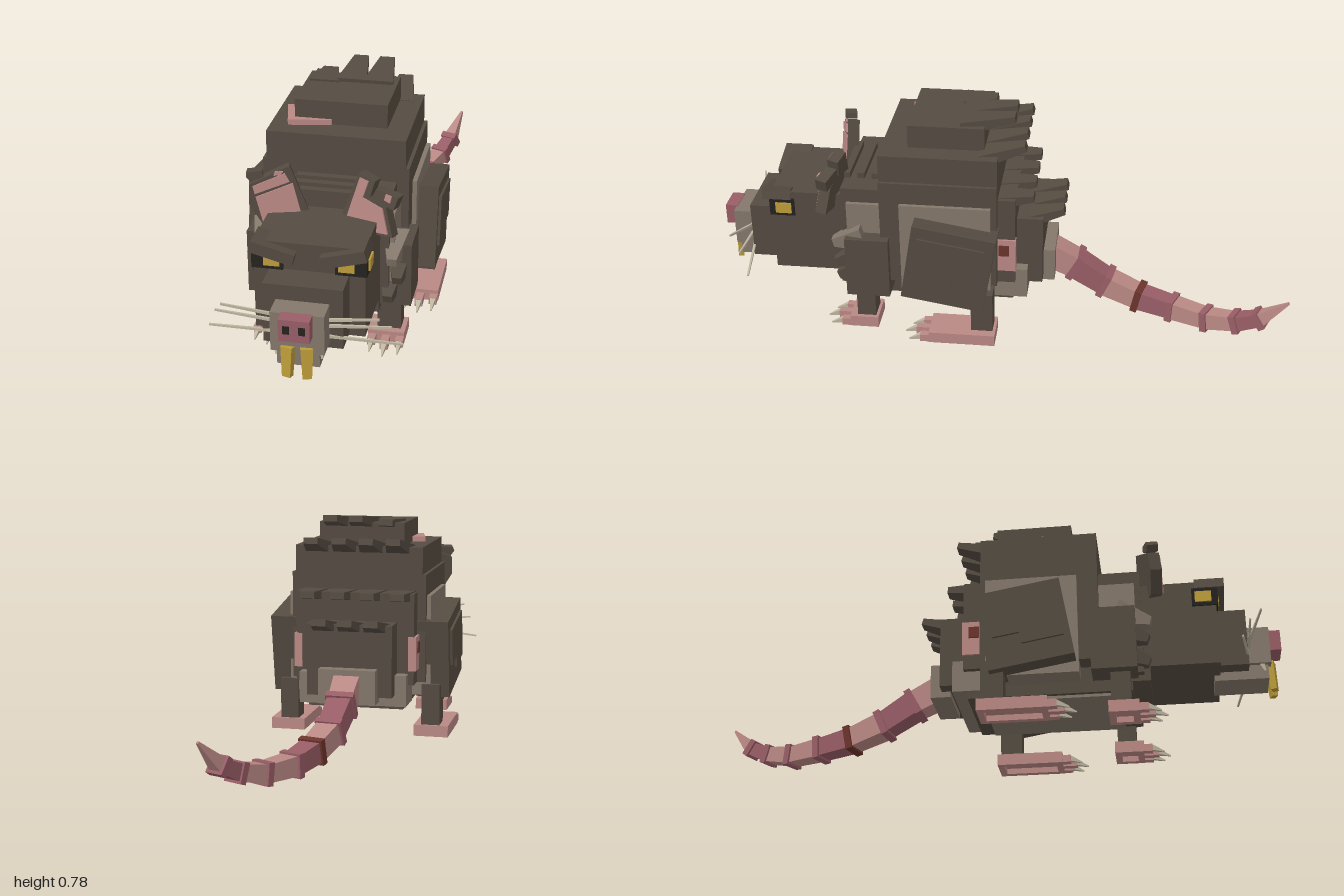
import * as THREE from 'three';

const mat = (name, color) => {
  const m = new THREE.MeshStandardMaterial({ color });
  m.name = name;
  return m;
};

export function createModel() {
  const rat = new THREE.Group();
  rat.name = 'rat';
  const fur = mat('dark fur', 0x544b41);
  const pale = mat('pale fur', 0x83776a);
  const pink = mat('pink skin', 0xb98884);
  const rose = mat('rose skin', 0x985d66);
  const wound = mat('dark red', 0x6a342b);
  const gold = mat('gold', 0xbd9c39);
  const black = mat('black', 0x24221f);
  const bone = mat('bone', 0xbeb5a0);

  const add = (name, geo, m, parent = rat) => {
    const mesh = new THREE.Mesh(geo, m);
    mesh.name = name;
    parent.add(mesh);
    return mesh;
  };
  // Box given by its limits on each axis
  const box = (name, m, x0, x1, y0, y1, z0, z1, parent = rat) => {
    const mesh = add(name, new THREE.BoxGeometry(x1 - x0, y1 - y0, z1 - z0), m, parent);
    mesh.position.set((x0 + x1) / 2, (y0 + y1) / 2, (z0 + z1) / 2);
    return mesh;
  };
  const mid = (name, m, w, y0, y1, z0, z1) => box(name, m, -w, w, y0, y1, z0, z1);
  // Square bar between two points, tapering from size a to size b
  const bar = (name, m, p, q, a, b, flat = 1, parent = rat) => {
    const from = new THREE.Vector3(...p), to = new THREE.Vector3(...q);
    const geo = new THREE.CylinderGeometry(b / Math.SQRT2, a / Math.SQRT2, from.distanceTo(to), 4);
    geo.rotateY(Math.PI / 4).rotateX(Math.PI / 2).scale(1, flat, 1);
    const mesh = add(name, geo.toNonIndexed(), m, parent);
    mesh.geometry.computeVertexNormals();
    mesh.position.copy(from).lerp(to, 0.5);
    mesh.lookAt(to);
    return mesh;
  };
  const plate = (name, m, pts, depth, parent) => {
    const shape = new THREE.Shape(pts.map(([x, y]) => new THREE.Vector2(x, y)));
    return add(name, new THREE.ExtrudeGeometry(shape, { depth, bevelEnabled: false }), m, parent);
  };

  // Torso, stacked from the belly up to the hump
  mid('bellyPlate', fur, 0.17, 0.11, 0.2, -0.05, 0.5);
  mid('bellyFur', pale, 0.155, 0.1, 0.17, 0.0, 0.46);
  mid('flanks', pale, 0.255, 0.15, 0.505, 0.02, 0.33);
  mid('body', fur, 0.24, 0.2, 0.58, 0.0, 0.4);
  mid('back', fur, 0.228, 0.56, 0.675, 0.0, 0.4);
  mid('hump', fur, 0.153, 0.67, 0.755, 0.05, 0.31);
  mid('rump', fur, 0.21, 0.2, 0.52, -0.06, 0.02);
  mid('lowerRump', fur, 0.15, 0.17, 0.42, -0.15, -0.04);
  mid('tailBase', pale, 0.1, 0.15, 0.27, -0.19, -0.12);
  mid('rumpFur', pale, 0.19, 0.13, 0.24, -0.1, 0.02);
  mid('neck', fur, 0.2, 0.16, 0.53, 0.38, 0.54);
  mid('ruff', pale, 0.215, 0.2, 0.48, 0.38, 0.52);
  mid('chest', fur, 0.172, 0.14, 0.4, 0.48, 0.56);
  for (const z of [0.42, 0.47, 0.52]) mid('neckFur', fur, 0.12, 0.52, 0.55, z, z + 0.025);
  const bald = plate('baldPatch', pink,
    [[-0.2, -0.21], [-0.17, -0.34], [-0.03, -0.315], [-0.03, -0.28], [-0.12, -0.29], [-0.14, -0.2]], 0.018);
  bald.rotation.x = -Math.PI / 2;
  bald.position.y = 0.675;

  // Rows of fur tufts sweeping back: base height, base z, tip height, tip z, places
  const rows = [
    [0.745, 0.13, 0.775, -0.05, [0.0, 0.09]],
    [0.74, 0.14, 0.757, 0.03, [-0.09]],
    [0.655, 0.06, 0.7, -0.09, [-0.14, -0.045, 0.05, 0.15]],
    [0.5, 0.03, 0.515, -0.12, [-0.16, -0.055, 0.05, 0.155]],
    [0.39, -0.07, 0.435, -0.22, [-0.09, 0, 0.09]],
  ];
  for (const [y0, z0, y1, z1, xs] of rows)
    for (const x of xs) bar('backTuft', fur, [x, y0, z0], [x, y1, z1], 0.1, 0.05, 0.45);

  // Head and muzzle
  mid('head', fur, 0.172, 0.19, 0.49, 0.53, 0.79);
  mid('muzzle', fur, 0.123, 0.2, 0.4, 0.78, 0.885);
  mid('snout', pale, 0.082, 0.22, 0.35, 0.86, 0.96);
  mid('nose', rose, 0.047, 0.28, 0.352, 0.955, 1.0);
  mid('jaw', pale, 0.065, 0.17, 0.225, 0.77, 0.95);

  for (const s of [-1, 1]) {
    const sx = ([x, y, z]) => [x * s, y, z];
    const sbox = (name, m, x0, x1, ...r) => box(name, m, Math.min(s * x0, s * x1), Math.max(s * x0, s * x1), ...r);

    // Face
    sbox('nostril', black, 0.014, 0.034, 0.305, 0.332, 0.996, 1.001);
    bar('tooth', gold, sx([0.028, 0.24, 0.96]), sx([0.03, 0.14, 0.967]), 0.038, 0.028, 0.7);
    sbox('eyeSocket', black, 0.08, 0.178, 0.4, 0.465, 0.71, 0.797);
    sbox('eyeFront', gold, 0.09, 0.14, 0.412, 0.447, 0.794, 0.801);
    sbox('eyeSide', gold, 0.175, 0.184, 0.412, 0.45, 0.72, 0.775);
    const brow = add('brow', new THREE.BoxGeometry(0.14, 0.038, 0.1), fur);
    brow.position.set(s * 0.11, 0.464, 0.77);
    brow.rotation.set(0, 0, s * 0.26);
    bar('cheekFur', bone, sx([0.067, 0.225, 0.93]), sx([0.07, 0.195, 0.94]), 0.016, 0.006);
    for (const [y0, x1, y1, z1] of [[0.298, 0.24, 0.342, 0.93], [0.278, 0.27, 0.295, 0.89], [0.243, 0.3, 0.222, 0.86]])
      bar('whisker', bone, sx([0.07, y0, 0.89]), sx([x1, y1, z1]), 0.009, 0.006);

    // Cheek tufts on the shoulders
    bar('shoulderTuft', pale, sx([0.21, 0.36, 0.46]), sx([0.215, 0.33, 0.57]), 0.09, 0.03);
    bar('shoulderTuft', fur, sx([0.225, 0.3, 0.46]), sx([0.23, 0.26, 0.56]), 0.08, 0.03);
    bar('shoulderTuft', fur, sx([0.2, 0.23, 0.46]), sx([0.2, 0.19, 0.56]), 0.08, 0.03);

    // Front leg and haunch
    sbox('shoulder', fur, 0.17, 0.27, 0.15, 0.37, 0.37, 0.52);
    sbox('frontLeg', fur, 0.157, 0.235, 0.04, 0.16, 0.43, 0.495);
    const haunch = new THREE.Group();
    haunch.name = 'haunch';
    haunch.position.set(s * 0.26, 0.303, 0.158);
    haunch.rotation.x = -0.165;
    rat.add(haunch);
    box('thigh', fur, -0.06, 0.06, -0.14, 0.14, -0.143, 0.143, haunch);
    const flat = plate('thighPatch', fur,
      [[-0.12, -0.07], [0.02, -0.07], [0.02, -0.03], [0.11, -0.03], [0.11, 0.1], [-0.12, 0.1]], 0.009, haunch);
    flat.rotation.y = Math.PI / 2;
    flat.position.x = s > 0 ? 0.06 : -0.069;
    sbox('hindLeg', fur, 0.225, 0.29, 0.04, 0.19, 0.01, 0.085);
    sbox('hipSore', pink, 0.19, 0.218, 0.25, 0.37, -0.063, 0.0);
    sbox('hipWound', wound, 0.214, 0.222, 0.31, 0.35, -0.04, -0.005);

    // Feet, hollow underneath, with toes and claws
    for (const [x0, x1, z0, z1] of [[0.13, 0.25, 0.42, 0.52], [0.2, 0.322, 0.0, 0.23]]) {
      const t = 0.022;
      sbox('footTop', pink, x0, x1, 0.025, 0.045, z0, z1);
      sbox('footSide', pink, x0, x0 + t, 0.005, 0.025, z0, z1);
      sbox('footSide', pink, x1 - t, x1, 0.005, 0.025, z0, z1);
      sbox('footEnd', pink, x0 + t, x1 - t, 0.005, 0.025, z0, z0 + t);
      sbox('footEnd', pink, x0 + t, x1 - t, 0.005, 0.025, z1 - t, z1);
      for (let i = 0; i < 3; i++) {
        const x = x0 + 0.015 + i * 0.046, z = z1 + (i === 1 ? 0.05 : 0.03);
        sbox('toe', pink, x - 0.013, x + 0.013, 0.006, 0.032, z1 - 0.01, z);
        bar('claw', bone, sx([x, 0.022, z - 0.005]), sx([x, 0.006, z + 0.04]), 0.02, 0.004);
      }
    }
  }

  // Ears, tattered differently on each side
  const ear = (s, backs, fronts) => {
    const g = new THREE.Group();
    g.name = s > 0 ? 'leftEar' : 'rightEar';
    g.position.set(s * 0.13, 0.45, 0.555);
    g.rotation.set(-0.12, -s * 0.28, 0);
    rat.add(g);
    const local = pts => pts.map(([x, y]) => [x - s * 0.13, y - 0.45]);
    for (const p of backs) plate('earBack', fur, local(p), 0.04, g);
    for (const p of fronts) plate('earSkin', pink, local(p), 0.008, g).position.z = 0.038;
  };
  ear(1, [
    [[0.065, 0.49], [0.12, 0.63], [0.175, 0.612], [0.16, 0.56], [0.215, 0.535], [0.24, 0.44], [0.09, 0.44]],
    [[0.165, 0.555], [0.18, 0.59], [0.255, 0.572], [0.24, 0.53]],
  ], [
    [[0.085, 0.49], [0.125, 0.618], [0.155, 0.61], [0.137, 0.555], [0.205, 0.53], [0.225, 0.45], [0.095, 0.45]],
    [[0.21, 0.56], [0.215, 0.58], [0.235, 0.575], [0.23, 0.553]],
  ]);
  ear(-1, [
    [[-0.06, 0.49], [-0.12, 0.635], [-0.245, 0.575], [-0.245, 0.51], [-0.2, 0.44], [-0.08, 0.44]],
    [[-0.255, 0.6], [-0.25, 0.615], [-0.205, 0.62], [-0.2, 0.6], [-0.24, 0.583]],
  ], [
    [[-0.08, 0.47], [-0.11, 0.58], [-0.225, 0.535], [-0.2, 0.445], [-0.09, 0.445]],
    [[-0.12, 0.585], [-0.135, 0.612], [-0.235, 0.57], [-0.228, 0.545]],
    [[-0.14, 0.618], [-0.15, 0.607], [-0.17, 0.605], [-0.165, 0.618]].reverse(),
  ]);

  // Segmented tail with raised rings
  const tail = [[0, 0.21, -0.17], [0, 0.165, -0.26], [0.01, 0.1, -0.37], [0.04, 0.063, -0.49], [0.075, 0.048, -0.61],
    [0.135, 0.05, -0.73], [0.185, 0.077, -0.83], [0.215, 0.115, -0.905], [0.25, 0.205, -0.993]];
  const skins = [pink, rose, pink, rose, pink, pink, rose, pink];
  for (let i = 0; i < 8; i++) {
    const a = 0.09 - i * 0.006;
    bar('tailSegment', skins[i], tail[i], tail[i + 1], a, i === 7 ? 0.008 : a - 0.008);
    if (i === 0) continue;
    const p = new THREE.Vector3(...tail[i]), d = new THREE.Vector3(...tail[i + 1]).sub(new THREE.Vector3(...tail[i - 1])).setLength(0.012);
    bar('tailRing', i === 3 ? wound : rose, p.clone().sub(d).toArray(), p.clone().add(d).toArray(), a + 0.014, a + 0.014);
  }
  return rat;
}
